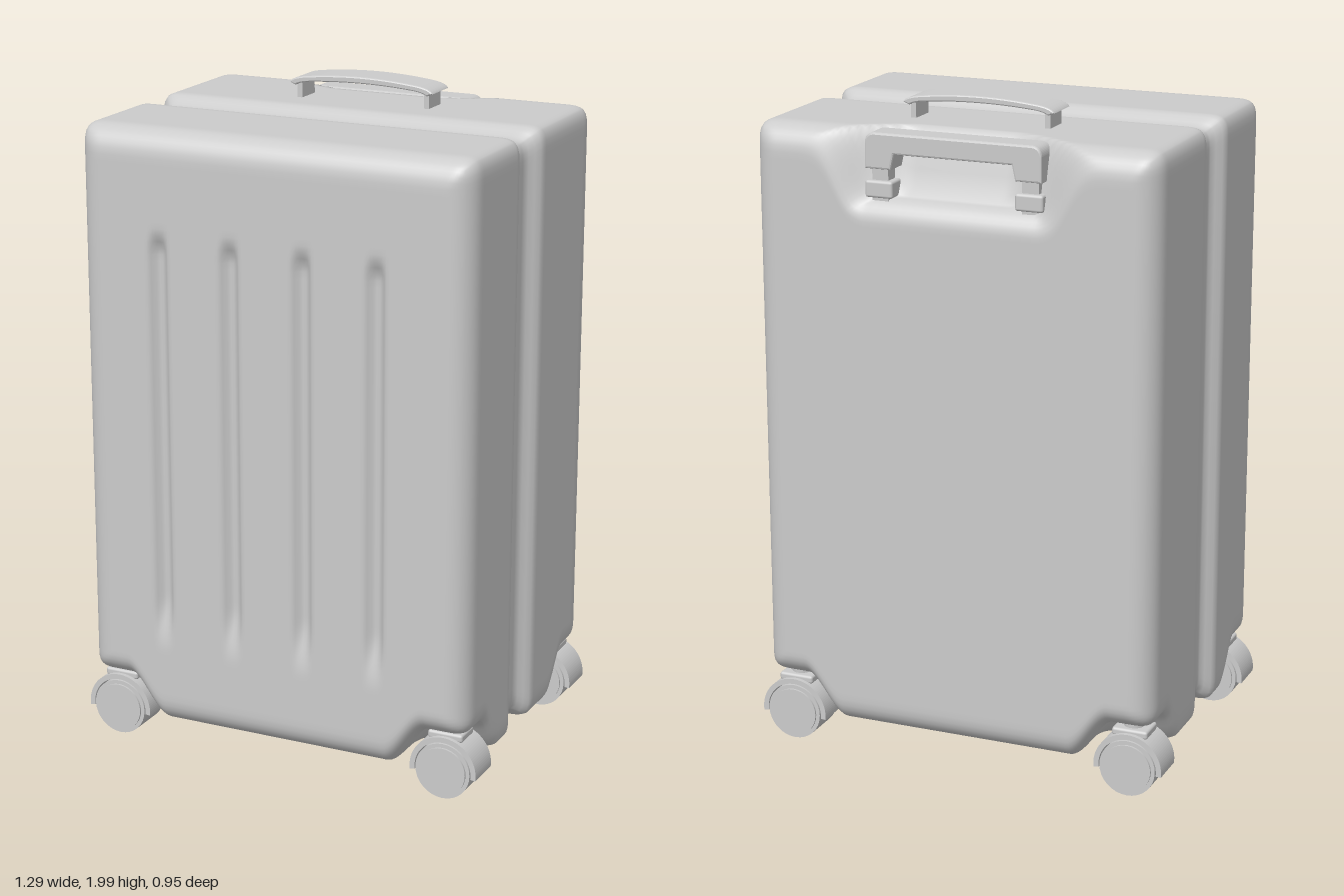
import * as THREE from 'three';
import { mergeVertices } from 'three/addons/utils/BufferGeometryUtils.js';
import { RoundedBoxGeometry } from 'three/addons/geometries/RoundedBoxGeometry.js';

const material = new THREE.MeshStandardMaterial({ color: 0xcccccc, side: THREE.DoubleSide });
const smooth = (v, a, b) => THREE.MathUtils.smoothstep(v, a, b);

function add(parent, name, geometry, x = 0, y = 0, z = 0) {
  const mesh = new THREE.Mesh(geometry, material);
  mesh.name = name;
  mesh.position.set(x, y, z);
  parent.add(mesh);
  return mesh;
}

// Shell: a fine box, rounded and then shaped by rules
function shellGeometry() {
  const half = new THREE.Vector3(0.62, 0.915, 0.473);
  const r = 0.08, midY = 1.005;
  let geo = new THREE.BoxGeometry(half.x * 2, half.y * 2, half.z * 2, 124, 90, 60);
  geo.deleteAttribute('uv');
  geo.deleteAttribute('normal');
  geo = mergeVertices(geo, 1e-5);
  const pos = geo.attributes.position;
  const p = new THREE.Vector3(), inner = new THREE.Vector3(), d = new THREE.Vector3();
  const hi = half.clone().subScalar(r), lo = hi.clone().negate();
  for (let i = 0; i < pos.count; i++) {
    p.fromBufferAttribute(pos, i);
    // rounded edges, tighter where sides meet top and bottom
    inner.copy(p).clamp(lo, hi);
    d.subVectors(p, inner);
    const len = Math.hypot((d.x ** 4 + d.y ** 4) ** 0.25, d.z);
    p.copy(inner).addScaledVector(d, r / len);

    // channel around the join of the two halves
    const channel = smooth(p.z, -0.06, 0.0) * (1 - smooth(p.z, 0.075, 0.125));
    if (Math.abs(p.z) < half.z - 0.1) {
      p.x *= 1 - 0.055 * channel;
      p.y *= 1 - 0.033 * channel;
    }
    p.y += midY;

    // four upright grooves on the front
    if (p.z > 0.4) {
      const along = smooth(p.y, 0.33, 0.5) * (1 - smooth(p.y, 1.56, 1.63));
      for (const gx of [-0.355, -0.125, 0.105, 0.335]) {
        const off = Math.abs(p.x - gx);
        p.z -= 0.026 * along * (1 - smooth(off, 0.008, 0.036));
      }
    }

    // sloping recess at the top of the back for the pull handle
    const ax = Math.abs(p.x);
    const edge = -0.335 - 0.135 * smooth(ax, 0.14, 0.5);
    const side = 1 - smooth(ax, 0.26, 0.52);
    const recess = smooth(edge - p.z, 0, 0.075) * side;
    p.y -= 0.19 * recess * smooth(p.y, 1.4, 1.9);

    // raised wheel wells in the bottom corners
    const well = smooth(ax, 0.36, 0.49) * smooth(Math.abs(p.z), 0.19, 0.32);
    p.y += 0.125 * well * (1 - smooth(p.y, 0.1, 0.5));
    pos.setXYZ(i, p.x + 0.006, p.y, p.z);
  }
  geo.computeVertexNormals();
  return geo;
}

// Carry handle: a thin arched strap with two short legs
function carryHandle() {
  const group = new THREE.Group();
  group.name = 'carryHandle';
  const s = new THREE.Shape();
  s.moveTo(-0.235, 1.968);
  s.quadraticCurveTo(-0.225, 1.985, -0.17, 1.99);
  s.quadraticCurveTo(0, 2.01, 0.17, 1.99);
  s.quadraticCurveTo(0.225, 1.985, 0.235, 1.968);
  s.lineTo(0.215, 1.96);
  s.quadraticCurveTo(0.2, 1.97, 0.16, 1.973);
  s.quadraticCurveTo(0, 1.987, -0.16, 1.973);
  s.quadraticCurveTo(-0.2, 1.97, -0.215, 1.96);
  s.closePath();
  const strap = new THREE.ExtrudeGeometry(s, {
    depth: 0.11, bevelThickness: 0.006, bevelSize: 0.004, bevelOffset: -0.004,
    bevelSegments: 2, curveSegments: 12,
  });
  add(group, 'handleStrap', strap, 0.006, 0, -0.255);
  for (const sx of [-1, 1]) {
    add(group, 'handleLeg', new THREE.BoxGeometry(0.016, 0.075, 0.085), 0.006 + sx * 0.208, 1.938, -0.2);
  }
  return group;
}

// Pull handle: a grip with turned-down ends on two telescoping posts
function pullHandle() {
  const group = new THREE.Group();
  group.name = 'pullHandle';
  const s = new THREE.Shape();
  s.moveTo(-0.27, 1.81);
  s.lineTo(-0.27, 1.885);
  s.quadraticCurveTo(-0.268, 1.913, -0.24, 1.915);
  s.lineTo(0.24, 1.915);
  s.quadraticCurveTo(0.268, 1.913, 0.27, 1.885);
  s.lineTo(0.27, 1.81);
  s.lineTo(0.19, 1.81);
  s.lineTo(0.18, 1.855);
  s.lineTo(-0.18, 1.855);
  s.lineTo(-0.19, 1.81);
  s.closePath();
  const grip = new THREE.ExtrudeGeometry(s, {
    depth: 0.072, bevelThickness: 0.006, bevelSize: 0.006, bevelOffset: -0.006, bevelSegments: 2,
  });
  add(group, 'grip', grip, 0, 0, -0.453);
  for (const sx of [-1, 1]) {
    add(group, 'post', new THREE.BoxGeometry(0.05, 0.16, 0.045), sx * 0.23, 1.75, -0.417);
    add(group, 'postCollar', new RoundedBoxGeometry(0.085, 0.05, 0.075, 2, 0.008), sx * 0.23, 1.75, -0.417);
  }
  return group;
}

// Caster: twin-faced wheel under a curved hood, with a stem into the shell
function caster(x, z) {
  const group = new THREE.Group();
  group.name = 'caster';
  const wheel = add(group, 'wheel', new THREE.CylinderGeometry(0.086, 0.086, 0.118, 32));
  wheel.rotation.x = Math.PI / 2;
  const hub = add(group, 'wheelHub', new THREE.CylinderGeometry(0.074, 0.074, 0.13, 32));
  hub.rotation.x = Math.PI / 2;

  const arc = new THREE.Shape();
  arc.absarc(0, 0, 0.105, -0.12, Math.PI + 0.12, false);
  arc.absarc(0, 0, 0.089, Math.PI + 0.12, -0.12, true);
  arc.closePath();
  const hood = new THREE.ExtrudeGeometry(arc, { depth: 0.116, bevelEnabled: false, curveSegments: 28 });
  add(group, 'hood', hood, 0, 0, -0.058);
  add(group, 'stemBase', new RoundedBoxGeometry(0.11, 0.025, 0.09, 2, 0.008), 0, 0.103, 0);
  add(group, 'stem', new THREE.CylinderGeometry(0.03, 0.03, 0.06, 20), 0, 0.13, 0);
  group.position.set(x, 0.094, z);
  return group;
}

export function createModel() {
  const model = new THREE.Group();
  model.name = 'suitcase';
  add(model, 'shell', shellGeometry());
  model.add(carryHandle(), pullHandle());
  for (const sx of [-1, 1]) {
    model.add(caster(sx * 0.541, 0.363), caster(sx * 0.541, -0.392));
  }
  return model;
}
